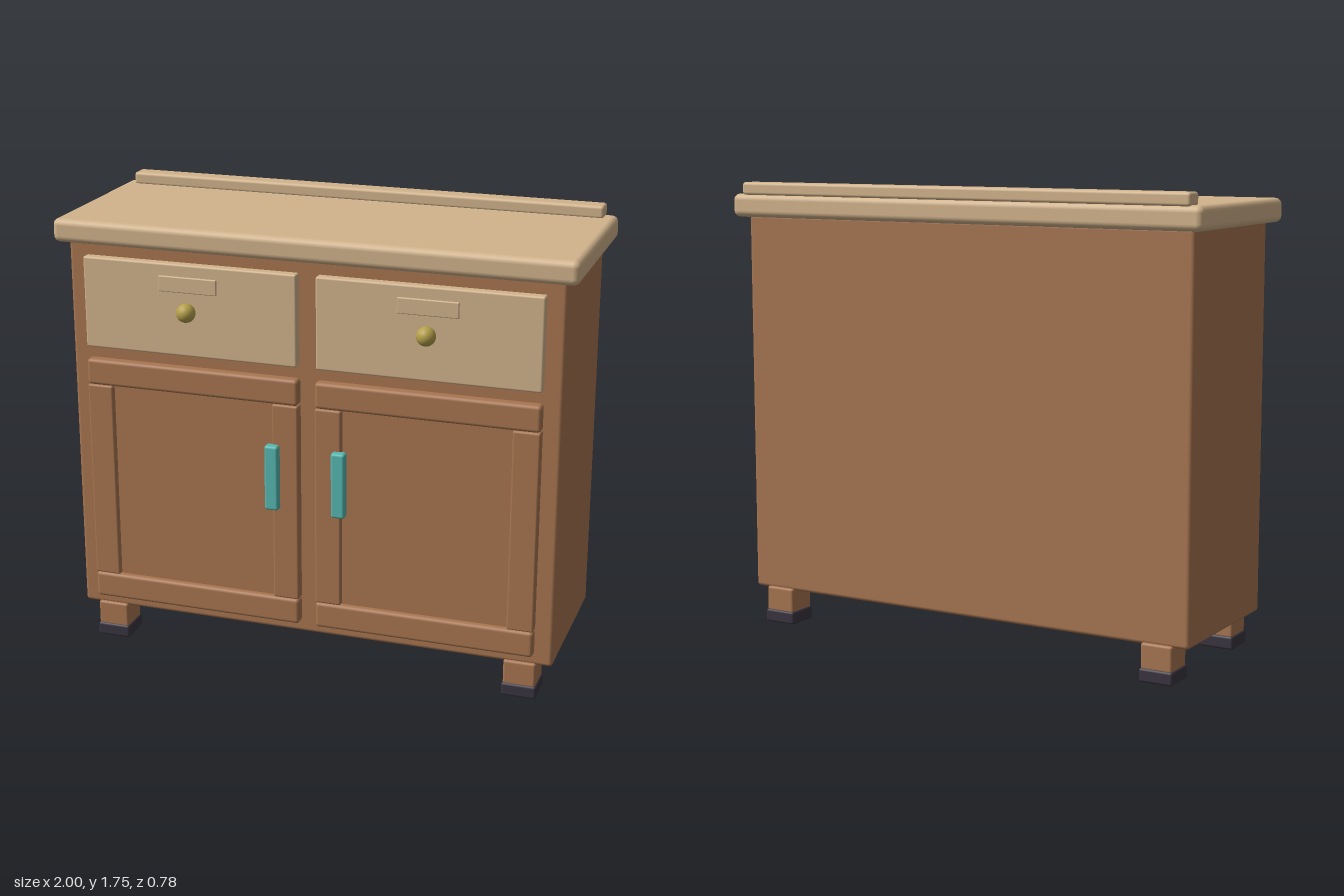
import * as THREE from 'three';
import { RoundedBoxGeometry } from 'three/addons/geometries/RoundedBoxGeometry.js';

function material(name, color) {
  const m = new THREE.MeshStandardMaterial({ color });
  m.name = name;
  return m;
}

export function createModel() {
  const wood = material('brown wood', 0xa87651);
  const paleWood = material('pale wood', 0xd2b48c);
  const teal = material('teal', 0x56b8b0);
  const brass = material('brass', 0xb5a04a);
  const rubber = material('dark rubber', 0x3a3440);

  const cabinet = new THREE.Group();
  cabinet.name = 'cabinet';

  // Rounded box given by its extents on each axis
  function block(parent, name, mat, [x0, x1], [y0, y1], [z0, z1], radius = 0.01) {
    const geometry = new RoundedBoxGeometry(x1 - x0, y1 - y0, z1 - z0, 3, radius);
    const mesh = new THREE.Mesh(geometry, mat);
    mesh.position.set((x0 + x1) / 2, (y0 + y1) / 2, (z0 + z1) / 2);
    mesh.name = name;
    parent.add(mesh);
    return mesh;
  }

  // Carcass, worktop and the rail along its back edge
  block(cabinet, 'carcass', wood, [-0.953, 0.953], [0.137, 1.63], [-0.344, 0.3], 0.015);
  block(cabinet, 'worktop', paleWood, [-1, 1], [1.62, 1.71], [-0.392, 0.345], 0.025);
  block(cabinet, 'backRail', paleWood, [-0.953, 0.953], [1.705, 1.755], [-0.387, -0.312], 0.012);

  for (const side of [-1, 1]) {
    const label = side > 0 ? 'left' : 'right';
    // Mirrors an x range to the chosen side
    const span = (a, b) => (side > 0 ? [a, b] : [-b, -a]);

    // Drawer with label plate and round knob
    const drawer = new THREE.Group();
    drawer.name = label + 'Drawer';
    block(drawer, 'drawerFront', paleWood, span(0.037, 0.883), [1.22, 1.573], [0.29, 0.334], 0.008);
    block(drawer, 'labelPlate', paleWood, span(0.346, 0.576), [1.467, 1.527], [0.325, 0.342], 0.004);
    const knob = new THREE.Mesh(new THREE.SphereGeometry(0.036, 24, 16), brass);
    knob.position.set(side * 0.461, 1.397, 0.357);
    knob.name = 'knob';
    drawer.add(knob);
    cabinet.add(drawer);

    // Framed door with recessed panel and bar handle
    const door = new THREE.Group();
    door.name = label + 'Door';
    block(door, 'doorPanel', wood, span(0.05, 0.87), [0.2, 1.15], [0.28, 0.315], 0.005);
    block(door, 'topRail', wood, span(0.033, 0.884), [1.07, 1.172], [0.29, 0.339], 0.014);
    block(door, 'bottomRail', wood, span(0.033, 0.884), [0.183, 0.286], [0.29, 0.339], 0.014);
    block(door, 'innerStile', wood, span(0.033, 0.135), [0.286, 1.07], [0.29, 0.338], 0.008);
    block(door, 'outerStile', wood, span(0.782, 0.884), [0.286, 1.07], [0.29, 0.338], 0.008);
    block(door, 'handle', teal, span(0.104, 0.158), [0.655, 0.912], [0.325, 0.366], 0.01);
    cabinet.add(door);

    // Feet: short wooden leg on a dark pad
    for (const z of [0.247, -0.293]) {
      const foot = new THREE.Group();
      foot.name = label + (z > 0 ? 'FrontFoot' : 'BackFoot');
      block(foot, 'leg', wood, span(0.768, 0.893), [0.045, 0.145], [z - 0.062, z + 0.062]);
      block(foot, 'pad', rubber, span(0.763, 0.898), [0, 0.052], [z - 0.067, z + 0.067]);
      cabinet.add(foot);
    }
  }
  return cabinet;
}
